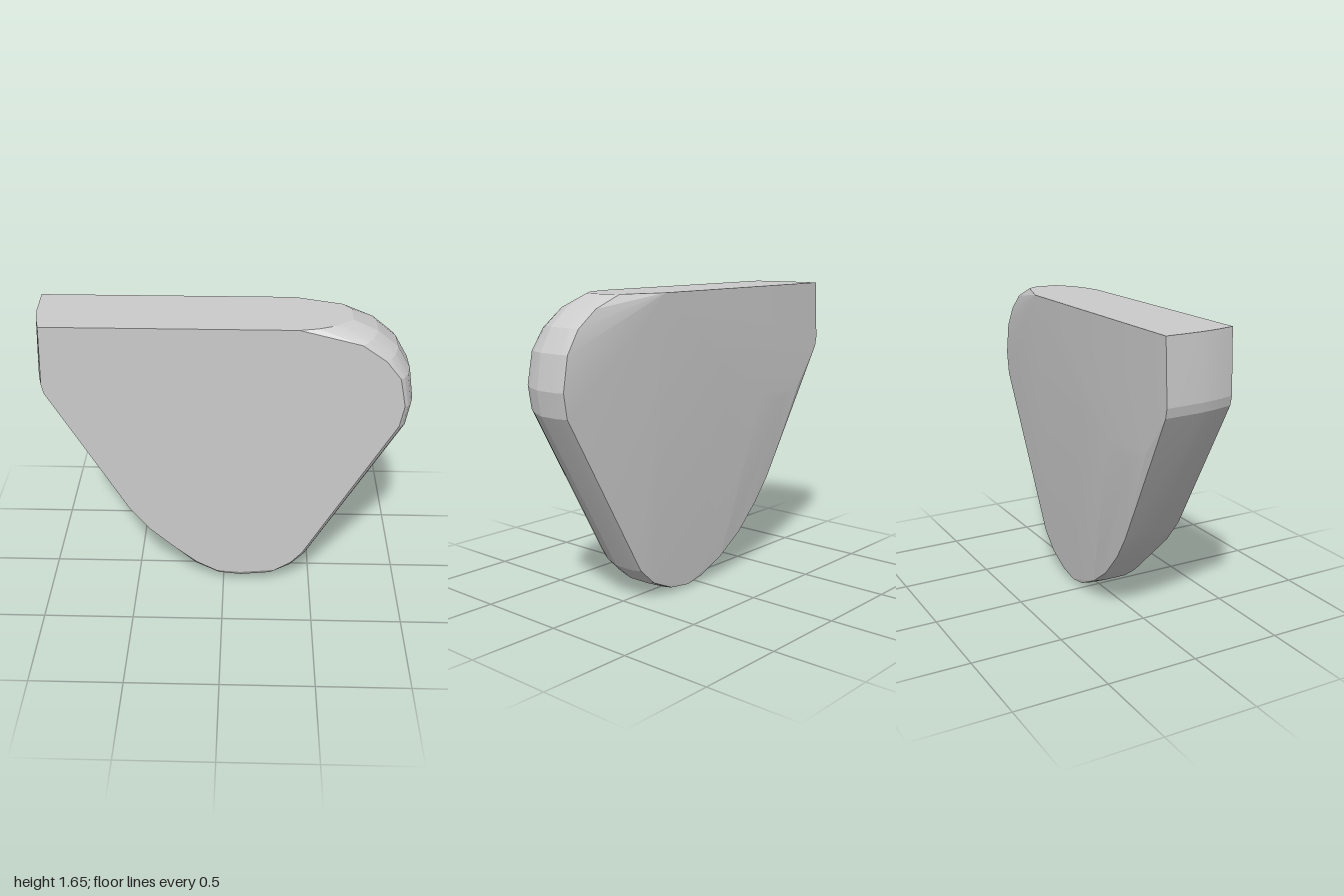
import * as THREE from 'three';
import { ConvexGeometry } from 'three/addons/geometries/ConvexGeometry.js';
import { toCreasedNormals } from 'three/addons/utils/BufferGeometryUtils.js';

// Rim stations: outer x, y, then front-face x, y, then z of the back edge
const LEFT_EDGE = [
  [-0.98, 1.65, -0.93, 1.65, -0.2],
  [-1.0, 1.32, -0.945, 1.32, -0.2],
  [-0.99, 1.27, -0.935, 1.27, -0.2],
  [-0.57, 0.52, -0.52, 0.53, -0.16],
  [-0.47, 0.38, -0.41, 0.39, -0.15],
  [-0.33, 0.23, -0.27, 0.26, -0.14],
];
const ROUND_EDGE = [
  [-0.18, 0.11, -0.15, 0.16, -0.13],
  [0.0, 0.02, -0.04, 0.1, -0.115],
  [0.1, 0.0, 0.1, 0.09, -0.115],
  [0.22, 0.015, 0.3, 0.11, -0.11],
  [0.37, 0.08, 0.39, 0.17, -0.11],
  [0.48, 0.18, 0.45, 0.24, -0.11],
  [0.98, 1.07, 0.925, 1.1, -0.11],
  [1.0, 1.2, 0.945, 1.22, -0.11],
  [0.97, 1.38, 0.91, 1.38, -0.11],
  [0.9, 1.5, 0.83, 1.48, -0.11],
  [0.79, 1.59, 0.7, 1.57, -0.115],
  [0.66, 1.65, 0.38, 1.65, -0.12],
];
// Rim profiles: z and how far it has moved from outer to front outline
const LEFT_PROFILE = [[0, 0.2], [0.1, 0.5], [0.2, 1]];
const ROUND_PROFILE = [[-0.06, 0], [0.07, 0], [0.14, 0.3], [0.18, 0.65], [0.2, 1]];
// Inner limit of the flat part of the back
const BACK_FLAT = [[0.37, 1.65], [-0.22, 1.15], [-0.45, 1.03], [-0.67, 0.99], [-0.82, 1.05]];

function rimPoints(stations, profile, backInset) {
  return stations.flatMap(([x, y, fx, fy, zb]) =>
    [[zb, backInset], ...profile].map(([z, t]) =>
      new THREE.Vector3(x + (fx - x) * t, y + (fy - y) * t, z)));
}

export function createModel() {
  const points = [
    ...rimPoints(LEFT_EDGE, LEFT_PROFILE, 0),
    ...rimPoints(ROUND_EDGE, ROUND_PROFILE, 0.15),
    ...BACK_FLAT.map(([x, y]) => new THREE.Vector3(x, y, -0.2)),
  ];
  const body = new THREE.Mesh(
    toCreasedNormals(new ConvexGeometry(points), 0.2),
    new THREE.MeshStandardMaterial({ color: 0xcccccc }));
  body.name = 'roundedWedgeBody';

  const group = new THREE.Group();
  group.name = 'roundedWedge';
  group.add(body);
  return group;
}
